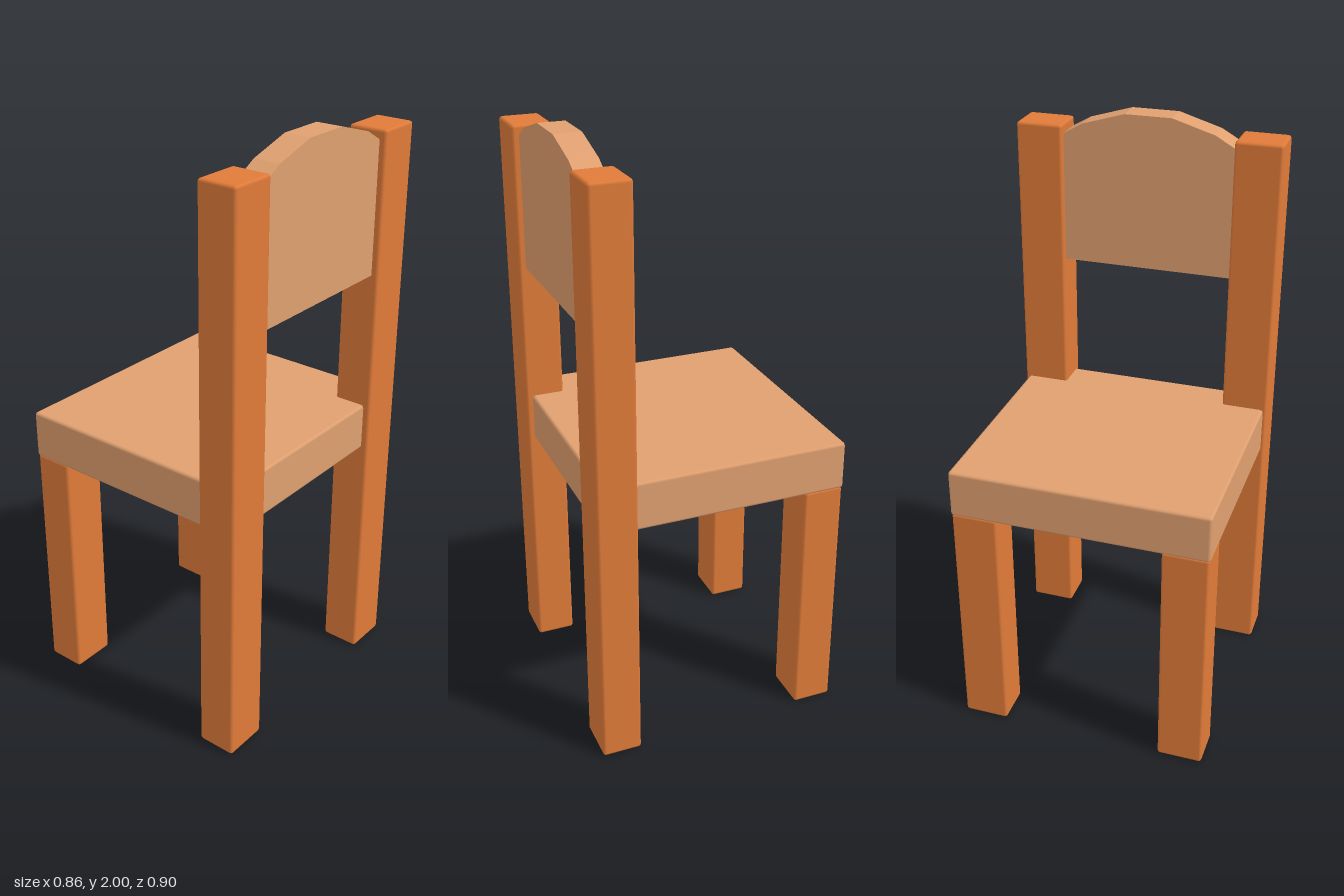
import * as THREE from 'three';
import { RoundedBoxGeometry } from 'three/addons/geometries/RoundedBoxGeometry.js';

const darkWood = new THREE.MeshStandardMaterial({ color: 0xe07b39 });
const lightWood = new THREE.MeshStandardMaterial({ color: 0xe0a070 });

// Softly bevelled beam given by its min and max corners
function beam(name, material, [x0, y0, z0], [x1, y1, z1]) {
  const geometry = new RoundedBoxGeometry(x1 - x0, y1 - y0, z1 - z0, 1, 0.01);
  const mesh = new THREE.Mesh(geometry, material);
  mesh.position.set((x0 + x1) / 2, (y0 + y1) / 2, (z0 + z1) / 2);
  mesh.name = name;
  return mesh;
}

export function createModel() {
  const chair = new THREE.Group();
  chair.name = 'chair';

  // Seat, its rear edge set between the tall posts
  chair.add(beam('seat', lightWood, [-0.43, 0.84, -0.44], [0.405, 1.005, 0.44]));

  // Short legs and tall back posts, one pair on each side
  for (const side of [-1, 1]) {
    const suffix = side > 0 ? 'Left' : 'Right';
    const leg = beam('shortLeg' + suffix, darkWood, [-0.428, 0, 0.28], [-0.292, 0.845, 0.437]);
    const post = beam('backPost' + suffix, darkWood, [0.293, 0, 0.293], [0.428, 1.95, 0.452]);
    for (const part of [leg, post]) {
      part.position.z *= side;
      chair.add(part);
    }
  }

  // Backrest panel with a faceted arched top
  const outline = [
    [-0.3, 1.475], [0.3, 1.475], [0.3, 1.915], [0.225, 1.957],
    [0.08, 2], [-0.08, 2], [-0.225, 1.957], [-0.3, 1.915],
  ].map(([x, y]) => new THREE.Vector2(x, y));
  const panel = new THREE.ExtrudeGeometry(new THREE.Shape(outline), { depth: 0.09, bevelEnabled: false });
  panel.rotateY(Math.PI / 2);
  const backrest = new THREE.Mesh(panel, lightWood);
  backrest.position.x = 0.315;
  backrest.name = 'backrest';
  chair.add(backrest);

  return chair;
}
